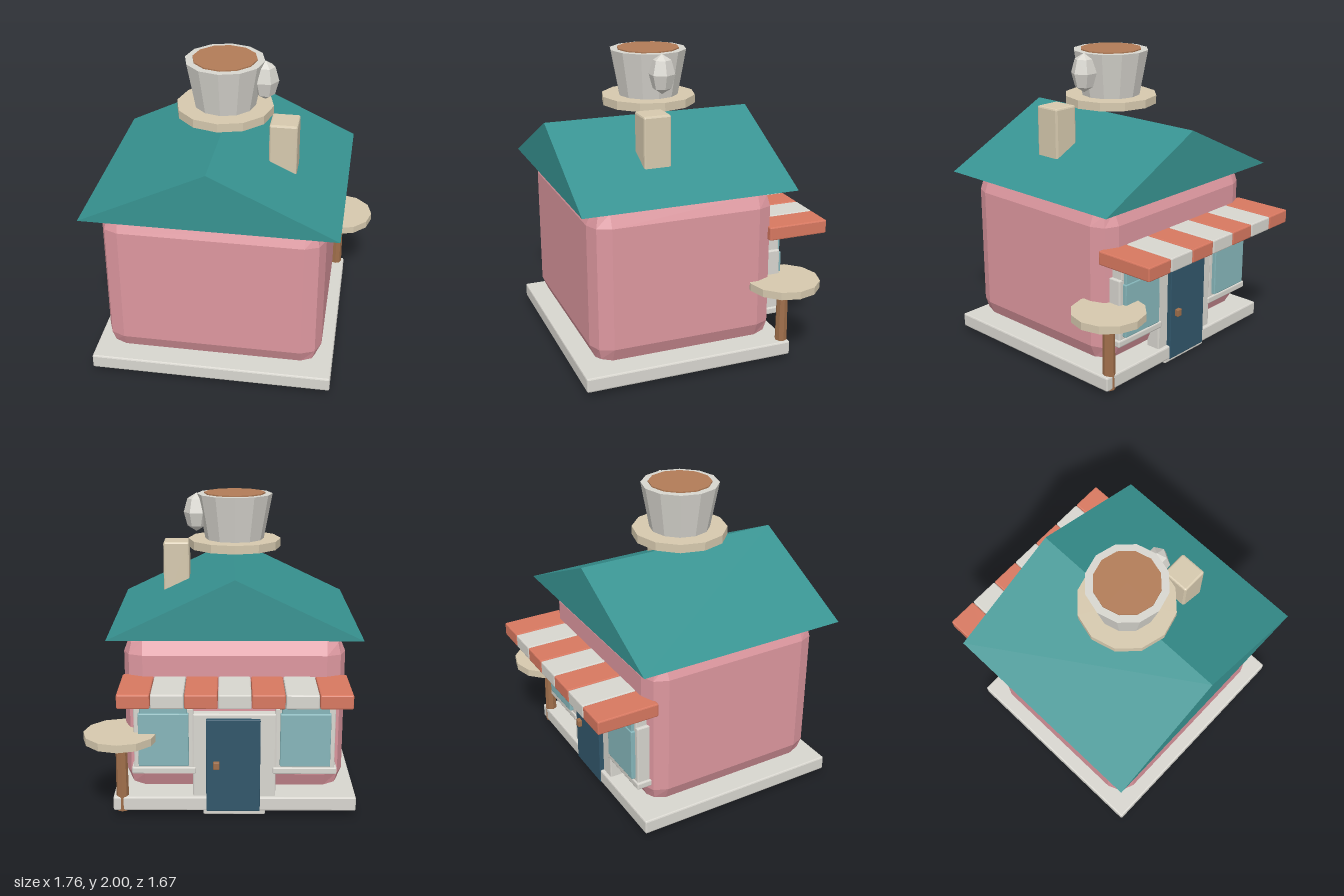
import * as THREE from 'three';
import { RoundedBoxGeometry } from 'three/addons/geometries/RoundedBoxGeometry.js';

const CX = -0.085; // centre line of the house
const CZ = 0.13;

function paint(name, color) {
  const m = new THREE.MeshStandardMaterial({ color });
  m.name = name;
  return m;
}

// Facet a geometry so every face has its own flat normal
function faceted(geometry) {
  const g = geometry.index ? geometry.toNonIndexed() : geometry;
  g.computeVertexNormals();
  return g;
}

export function createModel() {
  const pink = paint('wall pink', 0xdd979f);
  const teal = paint('roof teal', 0x379391);
  const stone = paint('pale stone', 0xd8d6cf);
  const cream = paint('cream', 0xd6c9ae);
  const coral = paint('awning coral', 0xd87860);
  const coffeeBrown = paint('coffee brown', 0xb27c57);
  const wood = paint('wood', 0xa06f4b);
  const doorBlue = paint('door blue', 0x31566a);
  const glass = paint('window glass', 0x86b6ba);

  const model = new THREE.Group();
  model.name = 'coffeeShop';

  function add(name, geometry, material, x = 0, y = 0, z = 0, parent = model) {
    const mesh = new THREE.Mesh(faceted(geometry), material);
    mesh.name = name;
    mesh.position.set(x, y, z);
    parent.add(mesh);
    return mesh;
  }

  // Softened box given by its limits on each axis
  function box(name, material, [x0, x1], [y0, y1], [z0, z1], radius = 0.008, parent = model) {
    const g = new RoundedBoxGeometry(x1 - x0, y1 - y0, z1 - z0, 1, radius);
    return add(name, g, material, (x0 + x1) / 2, (y0 + y1) / 2, (z0 + z1) / 2, parent);
  }

  // Upright twelve-sided drum
  function drum(name, material, rTop, rBottom, y0, y1, x, z, sides = 12) {
    return add(name, new THREE.CylinderGeometry(rTop, rBottom, y1 - y0, sides), material, x, (y0 + y1) / 2, z);
  }

  // Ground slab, doorstep and walls
  box('baseSlab', stone, [-0.87, 0.695], [0.035, 0.13], [-0.565, 0.83], 0.01);
  box('doorstep', stone, [-0.285, 0.115], [0, 0.05], [-0.545, -0.47]);
  box('walls', pink, [-0.79, 0.62], [0.13, 1.18], [-0.48, 0.75], 0.125);

  // Gabled roof
  const gable = new THREE.Shape([
    new THREE.Vector2(-0.795, 1.18),
    new THREE.Vector2(0.795, 1.18),
    new THREE.Vector2(0, 1.56),
  ]);
  add('roof', new THREE.ExtrudeGeometry(gable, { depth: 1.41, bevelEnabled: false }), teal, CX, 0, -0.575);

  // Chimney
  box('chimney', cream, [0.22, 0.395], [1.21, 1.66], [0.155, 0.335], 0.012);

  // Giant cup hovering over the ridge
  drum('saucer', cream, 0.308, 0.308, 1.64, 1.695, CX, CZ);
  drum('cup', stone, 0.25, 0.195, 1.695, 1.992, CX, CZ);
  drum('coffee', coffeeBrown, 0.203, 0.203, 1.96, 2, CX, CZ);
  add('cupHandle', new THREE.SphereGeometry(0.085, 6, 4), stone, 0.168, 1.868, CZ).scale.y = 1.5;

  // Striped awning over the shop front
  const awning = new THREE.Group();
  awning.name = 'awning';
  model.add(awning);
  const pitch = 0.2035;
  for (let i = 0; i < 7; i++) {
    const x = CX + (i - 3) * pitch;
    box('awningStripe', i % 2 ? stone : coral, [x - 0.1, x + 0.1], [0.83, 0.92], [-0.838, -0.43], 0.008, awning);
  }

  // Door with its frame and knob
  box('doorFrame', stone, [-0.35, 0.18], [0.11, 0.69], [-0.54, -0.44]);
  box('door', doorBlue, [-0.25, 0.095], [0.035, 0.66], [-0.57, -0.5], 0.005);
  box('doorKnob', wood, [0.01, 0.05], [0.332, 0.382], [-0.595, -0.56], 0.005);

  // One window each side of the door
  for (const side of [-1, 1]) {
    const win = new THREE.Group();
    win.name = side > 0 ? 'leftWindow' : 'rightWindow';
    win.position.x = CX + side * 0.45;
    model.add(win);
    box('windowFrame', stone, [-0.19, 0.19], [0.32, 0.73], [-0.54, -0.42], 0.008, win);
    box('windowTopFrame', stone, [-0.17, 0.17], [0.72, 0.86], [-0.54, -0.42], 0.008, win);
    box('windowSill', stone, [-0.205, 0.205], [0.285, 0.33], [-0.55, -0.42], 0.008, win);
    box('windowPane', glass, [-0.16, 0.16], [0.345, 0.7], [-0.567, -0.52], 0.006, win);
    box('windowTopPane', glass, [-0.15, 0.15], [0.69, 0.85], [-0.56, -0.52], 0.006, win);
  }

  // Small round table at the corner
  drum('tableTop', cream, 0.236, 0.236, 0.515, 0.565, 0.64, -0.527);
  drum('tableLeg', wood, 0.036, 0.042, 0.03, 0.53, 0.637, -0.527, 8);

  return model;
}
